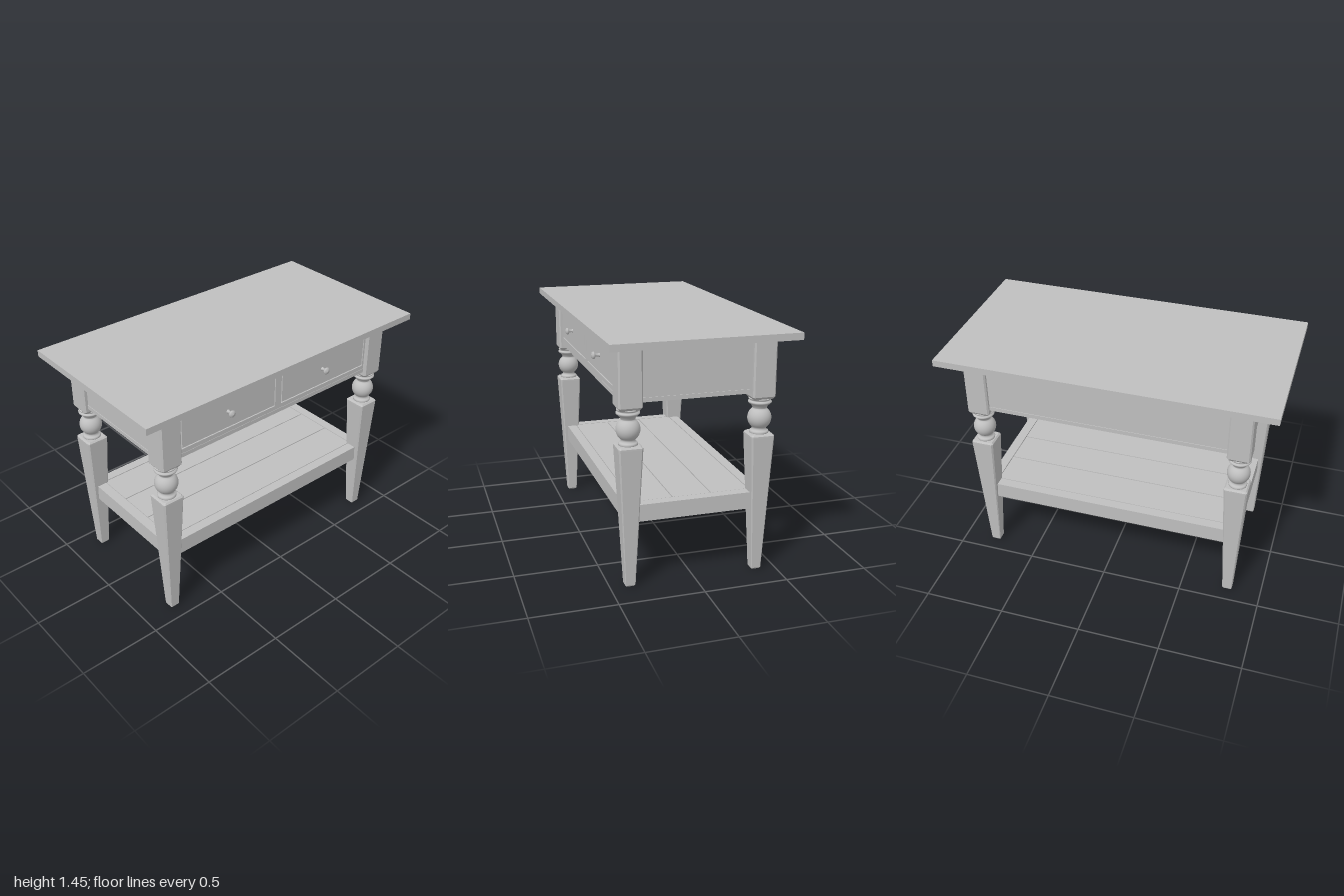
import * as THREE from 'three';

const paint = new THREE.MeshStandardMaterial({ color: 0xbfbfbf });
paint.name = 'grey paint';

const LEG_X = 0.79, LEG_Z = 0.384;

function add(parent, name, geometry, x = 0, y = 0, z = 0) {
  const mesh = new THREE.Mesh(geometry, paint);
  mesh.name = name;
  mesh.position.set(x, y, z);
  parent.add(mesh);
  return mesh;
}

// Box given by its lower and upper limits on each axis
function box(parent, name, [x0, x1], [y0, y1], [z0, z1]) {
  return add(parent, name, new THREE.BoxGeometry(x1 - x0, y1 - y0, z1 - z0),
    (x0 + x1) / 2, (y0 + y1) / 2, (z0 + z1) / 2);
}

const profile = pts => pts.map(p => new THREE.Vector2(...p));

// Square section with bevelled corners; the profile lists [half width, y]
function squareLathe(pts) {
  const geo = new THREE.LatheGeometry(profile(pts), 8, Math.PI / 8);
  const p = geo.attributes.position;
  for (let i = 0; i < p.count; i++) {
    const x = p.getX(i), z = p.getZ(i), r = Math.hypot(x, z);
    const fit = v => Math.sign(v) * r * (Math.abs(v) > 0.6 * r ? 1 : 0.87);
    p.setXYZ(i, fit(x), p.getY(i), fit(z));
  }
  const flat = geo.toNonIndexed();
  flat.computeVertexNormals();
  return flat;
}

// Leg parts: tapered foot, turned neck with ball, square post
const taperGeo = squareLathe([[0, 0], [0.025, 0], [0.03, 0.008], [0.069, 0.825],
  [0.069, 0.834], [0.06, 0.843], [0, 0.843]]);
const postGeo = squareLathe([[0, 1.045], [0.056, 1.045], [0.062, 1.053], [0.068, 1.062],
  [0.068, 1.405], [0, 1.405]]);

const ball = [];
for (let i = 0; i <= 14; i++) {
  const a = THREE.MathUtils.lerp(-0.95, 0.95, i / 14);
  ball.push([0.068 * Math.cos(a), 0.93 + 0.068 * Math.sin(a)]);
}
const neckGeo = new THREE.LatheGeometry(profile([
  [0.05, 0.838], [0.054, 0.843], [0.055, 0.851], [0.051, 0.857], [0.043, 0.86], [0.041, 0.868],
  ...ball,
  [0.041, 0.99], [0.044, 0.998], [0.052, 1.008], [0.062, 1.016], [0.067, 1.021],
  [0.067, 1.027], [0.06, 1.033], [0.056, 1.036], [0.064, 1.041], [0.064, 1.047], [0.05, 1.05],
]), 32);

const knobGeo = new THREE.LatheGeometry(profile([
  [0.012, 0], [0.008, 0.008], [0.009, 0.024], [0.02, 0.03], [0.022, 0.037], [0.018, 0.044], [0, 0.049],
]), 24);

export function createModel() {
  const table = new THREE.Group();
  table.name = 'console table';

  box(table, 'tableTop', [-1, 1], [1.405, 1.445], [-0.533, 0.533]);

  for (const sx of [-1, 1]) for (const sz of [-1, 1]) {
    const leg = new THREE.Group();
    leg.name = (sz > 0 ? 'front' : 'back') + (sx > 0 ? 'Left' : 'Right') + 'Leg';
    leg.position.set(sx * LEG_X, 0, sz * LEG_Z);
    add(leg, 'taperedFoot', taperGeo);
    add(leg, 'turnedNeck', neckGeo);
    add(leg, 'squarePost', postGeo);
    table.add(leg);
  }

  // Apron case with a slim bottom board
  box(table, 'apronCase', [-0.832, 0.832], [1.11, 1.405], [-0.43, 0.41]);
  box(table, 'bottomBoard', [-0.836, 0.836], [1.085, 1.11], [-0.434, 0.432]);

  // Front frame with two drawer openings
  const drawers = [[-0.712, -0.026], [0.02, 0.71]];
  const low = 1.137, high = 1.36, gap = 0.007;
  const rect = (path, x0, x1, y0, y1) =>
    path.moveTo(x0, y0).lineTo(x1, y0).lineTo(x1, y1).lineTo(x0, y1).closePath();
  const frame = new THREE.Shape();
  rect(frame, -0.76, 0.76, 1.11, 1.405);
  for (const [x0, x1] of drawers) {
    const hole = new THREE.Path();
    rect(hole, x0, x1, low, high);
    frame.holes.push(hole);
  }
  add(table, 'drawerFrame',
    new THREE.ExtrudeGeometry(frame, { depth: 0.02, bevelEnabled: false }), 0, 0, 0.41);

  // Drawer fronts and their knobs
  for (const [x0, x1] of drawers) {
    box(table, 'drawerFront', [x0 + gap, x1 - gap], [low + gap, high], [0.41, 0.43]);
    const knob = add(table, 'drawerKnob', knobGeo, (x0 + x1) / 2 - 0.013, 1.247, 0.43);
    knob.rotation.x = Math.PI / 2;
  }

  // Lower shelf: rails between the legs and three planks
  const railY = [0.39, 0.49];
  for (const s of [-1, 1]) {
    const sides = (a, b) => (s > 0 ? [a, b] : [-b, -a]);
    box(table, 'longShelfRail', [-0.79, 0.79], railY, sides(0.35, 0.41));
    box(table, 'shortShelfRail', sides(0.755, 0.815), railY, [-0.35, 0.35]);
  }
  box(table, 'shelfUnderside', [-0.757, 0.757], [0.455, 0.475], [-0.352, 0.352]);
  for (const i of [-1, 0, 1]) {
    const z = i * 0.232;
    box(table, 'shelfPlank', [-0.751, 0.751], [0.45, 0.489], [z - 0.113, z + 0.113]);
  }

  return table;
}
